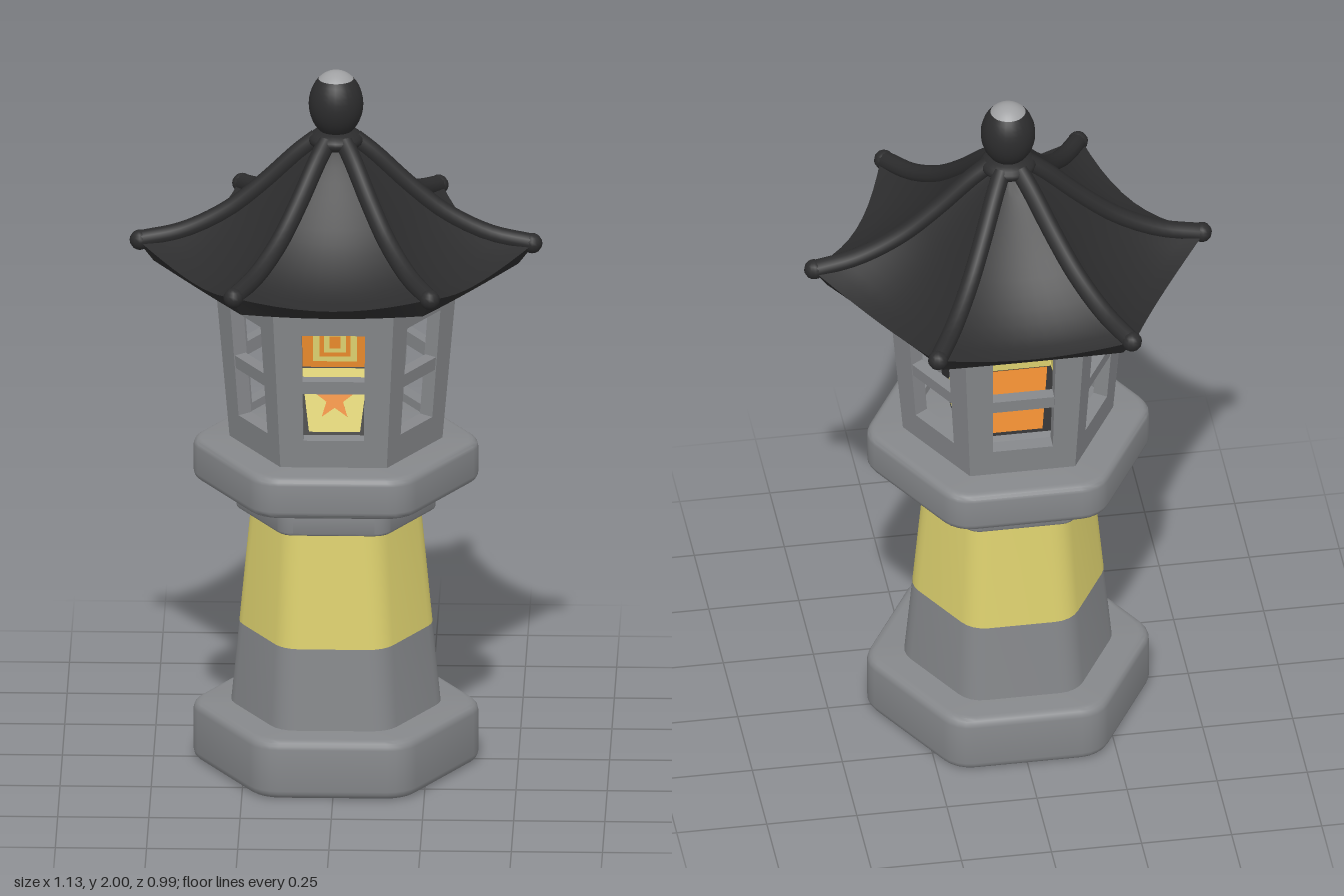
import * as THREE from 'three';
import { toCreasedNormals } from 'three/addons/utils/BufferGeometryUtils.js';

const mat = (name, color, side = THREE.FrontSide) => {
  const m = new THREE.MeshStandardMaterial({ color, side });
  m.name = name;
  return m;
};

export function createModel() {
  const model = new THREE.Group();
  model.name = 'stoneLantern';
  const stone = mat('stone grey', 0x85878a);
  const yellow = mat('pale yellow', 0xdcd06e);
  const dark = mat('charcoal', 0x2c2c2d);
  const orange = mat('orange', 0xe8892a);
  const light = mat('light grey', 0x9fa0a2);

  const add = (name, geo, material, parent = model) => {
    const mesh = new THREE.Mesh(geo, material);
    mesh.name = name;
    parent.add(mesh);
    return mesh;
  };

  // Skin closed rings of points, listed from bottom to top
  const skin = (rings, crease = 0.6) => {
    const n = rings[0].length, pos = [], idx = [];
    rings.forEach(r => r.forEach(p => pos.push(...p)));
    for (let i = 0; i < rings.length - 1; i++) {
      for (let j = 0; j < n; j++) {
        const k = (j + 1) % n;
        const a = i * n + j, b = i * n + k, c = b + n, d = a + n;
        idx.push(a, d, c, a, c, b);
      }
    }
    const g = new THREE.BufferGeometry();
    g.setAttribute('position', new THREE.Float32BufferAttribute(pos, 3));
    g.setIndex(idx);
    return toCreasedNormals(g, crease);
  };

  // Hexagonal ring with rounded corners; a = centre to flat side
  const hexRing = (a, y, round) => {
    const c = Math.min(round, a), d = (a - c) / Math.cos(Math.PI / 6), pts = [];
    for (let k = 0; k < 6; k++) {
      const mid = k * Math.PI / 3;
      for (let s = -2; s <= 2; s++) {
        const t = mid + s * Math.PI / 12;
        pts.push([d * Math.cos(mid) + c * Math.cos(t), y, d * Math.sin(mid) + c * Math.sin(t)]);
      }
    }
    return pts;
  };
  const hexLoft = (rows, round) => skin(rows.map(([a, y]) => hexRing(a, y, round)));

  // Hexagonal slab with softened edges
  const slab = (a, y0, y1, round, bevel) => {
    const rows = [[0, y0]];
    for (let i = 0; i <= 4; i++) {
      const t = i * Math.PI / 8;
      rows.push([a - bevel * (1 - Math.sin(t)), y0 + bevel * (1 - Math.cos(t))]);
    }
    for (let i = 0; i <= 4; i++) {
      const t = i * Math.PI / 8;
      rows.push([a - bevel * (1 - Math.cos(t)), y1 - bevel * (1 - Math.sin(t))]);
    }
    rows.push([0, y1]);
    return hexLoft(rows, round);
  };

  // Pedestal and tower
  add('base', slab(0.35, 0, 0.17, 0.09, 0.025), stone);
  add('towerLower', hexLoft([[0.26, 0.16], [0.24, 0.4]], 0.08), stone);
  add('towerUpper', hexLoft([[0.24, 0.4], [0.212, 0.74]], 0.08), yellow);
  add('collar', slab(0.243, 0.73, 0.83, 0.05, 0.008), stone);
  add('platform', slab(0.35, 0.815, 0.935, 0.09, 0.022), stone);

  // Lamp house: six leaning walls, each with a window and a crossbar
  const y0 = 0.925, y1 = 1.43, a0 = 0.252, a1 = 0.29, depth = 0.04;
  const h = y1 - y0, lean = Math.atan((a1 - a0) / h), tan30 = Math.tan(Math.PI / 6);
  const wall = new THREE.Shape([
    new THREE.Vector2(-a0 * tan30, 0), new THREE.Vector2(a0 * tan30, 0),
    new THREE.Vector2(a1 * tan30, h), new THREE.Vector2(-a1 * tan30, h)]);
  const hole = new THREE.Path();
  hole.moveTo(-0.083, 0.09).lineTo(-0.087, 0.405).lineTo(0.087, 0.405).lineTo(0.083, 0.09).closePath();
  wall.holes.push(hole);
  const wallGeo = new THREE.ExtrudeGeometry(wall, { depth, bevelEnabled: false });
  wallGeo.translate(0, 0, -depth);
  for (let k = 0; k < 6; k++) {
    const side = new THREE.Group();
    side.name = 'lampHouseSide';
    side.rotation.y = k * Math.PI / 3;
    const panel = new THREE.Group();
    panel.name = 'windowWall';
    panel.position.set(0, y0, a0);
    panel.rotation.x = lean;
    add('wall', wallGeo, stone, panel);
    add('windowBar', new THREE.BoxGeometry(0.18, 0.037, 0.034), stone, panel).position.set(0, 0.247, -0.02);
    side.add(panel);
    model.add(side);
  }
  add('lampFloor', slab(0.235, 0.93, 0.995, 0.02, 0.004), stone);
  add('lampCeiling', slab(0.262, 1.385, 1.415, 0.02, 0.003), yellow);

  // Light inside: flared dark foot, two-colour block and painted plates
  const lamp = new THREE.Group();
  lamp.name = 'lampCore';
  model.add(lamp);
  const foot = new THREE.CylinderGeometry(0.1 * Math.SQRT2, 0.16 * Math.SQRT2, 0.18, 4).toNonIndexed();
  foot.computeVertexNormals();
  foot.rotateY(Math.PI / 4);
  add('lampFoot', foot, dark, lamp).position.y = 1.085;
  for (const s of [1, -1]) {
    add(s > 0 ? 'flameFront' : 'flameBack', new THREE.BoxGeometry(0.2, 0.155, 0.105),
      s > 0 ? orange : yellow, lamp).position.set(0, 1.2525, s * 0.0525);
  }
  [[0.12, 0.115, yellow], [0.085, 0.085, orange], [0.06, 0.06, yellow], [0.03, 0.035, orange]]
    .forEach(([w, t, m], i) => {
      add('flamePlate', new THREE.BoxGeometry(w, t, 0.004), m, lamp).position.set(0, 1.25, 0.106 + i * 0.003);
    });
  const trapezoid = new THREE.Shape([
    new THREE.Vector2(-0.07, 0.01), new THREE.Vector2(0.07, 0.01),
    new THREE.Vector2(0.092, 0.185), new THREE.Vector2(-0.092, 0.185)]);
  const plateGeo = new THREE.ExtrudeGeometry(trapezoid, { depth: 0.004, bevelEnabled: false });
  const star = new THREE.Shape();
  for (let i = 0; i < 10; i++) {
    const r = i % 2 ? 0.024 : 0.06, t = Math.PI / 2 + i * Math.PI / 5;
    star[i ? 'lineTo' : 'moveTo'](r * Math.cos(t), 0.1 + r * Math.sin(t));
  }
  const starGeo = new THREE.ExtrudeGeometry(star, { depth: 0.003, bevelEnabled: false });
  for (let k = 0; k < 4; k++) {
    const side = new THREE.Group();
    side.name = 'footSide';
    side.rotation.y = k * Math.PI / 2;
    const face = new THREE.Group();
    face.name = 'footFace';
    face.position.set(0, 0.995, 0.16);
    face.rotation.x = -Math.atan(0.06 / 0.18);
    add('glowPlate', plateGeo, k === 2 ? orange : yellow, face);
    if (k === 0) add('glowStar', starGeo, orange, face).position.z = 0.004;
    side.add(face);
    lamp.add(side);
  }

  // Roof: concave hexagonal sheet, sagging between upturned ridges
  const ridge = new THREE.CatmullRomCurve3([
    [0.05, 1.805], [0.1, 1.765], [0.2, 1.67], [0.3, 1.59], [0.42, 1.53], [0.538, 1.503]]
    .map(([x, y]) => new THREE.Vector3(x, y, 0)));
  const roofRing = (R, yCorner, pull, sag) => {
    const pts = [];
    for (let k = 0; k < 6; k++) {
      const A = k * Math.PI / 3, B = A + Math.PI / 3;
      for (let i = 0; i < 10; i++) {
        const u = i / 10, w = 4 * u * (1 - u);
        const x = R * (Math.cos(A) * (1 - u) + Math.cos(B) * u);
        const z = R * (Math.sin(A) * (1 - u) + Math.sin(B) * u);
        const f = 1 - pull * w;
        pts.push([x * f, yCorner - sag * w, z * f]);
      }
    }
    return pts;
  };
  const eave = roofRing(0.55, 1.508, 0.065, 0.05);
  const lip = roofRing(0.5, 1.443, 0.05, 0.018);
  const sheet = [lip, eave];
  for (let i = 13; i >= 0; i--) {
    const t = i / 14, p = ridge.getPoint(t);
    sheet.push(roofRing(p.x, p.y, 0.065 * t * t, 0.008 + 0.042 * t * t));
  }
  add('roof', skin(sheet, 0.7), dark);
  add('roofUnderside', skin([roofRing(0.02, 1.415, 0, 0), roofRing(0.33, 1.415, 0, 0), lip], 0.5), stone);
  for (let k = 0; k < 6; k++) {
    const rib = new THREE.Group();
    rib.name = 'roofRidge';
    rib.rotation.y = k * Math.PI / 3;
    add('ridgeBar', new THREE.TubeGeometry(ridge, 20, 0.026, 10), dark, rib);
    add('ridgeTip', new THREE.SphereGeometry(0.028, 12, 8), dark, rib).position.set(0.538, 1.503, 0);
    model.add(rib);
  }

  // Finial: neck ring, egg-shaped knob and pale cap
  const neck = add('finialNeck', new THREE.SphereGeometry(0.077, 24, 12), dark);
  neck.position.y = 1.803;
  neck.scale.y = 0.42;
  const capAngle = 0.7;
  const knob = (name, start, length, m) => {
    const part = add(name, new THREE.SphereGeometry(0.075, 24, 14, 0, Math.PI * 2, start, length), m);
    part.position.y = 1.905;
    part.scale.y = 0.095 / 0.075;
  };
  knob('finialKnob', capAngle, Math.PI - capAngle, dark);
  knob('finialCap', 0, capAngle, light);
  return model;
}
